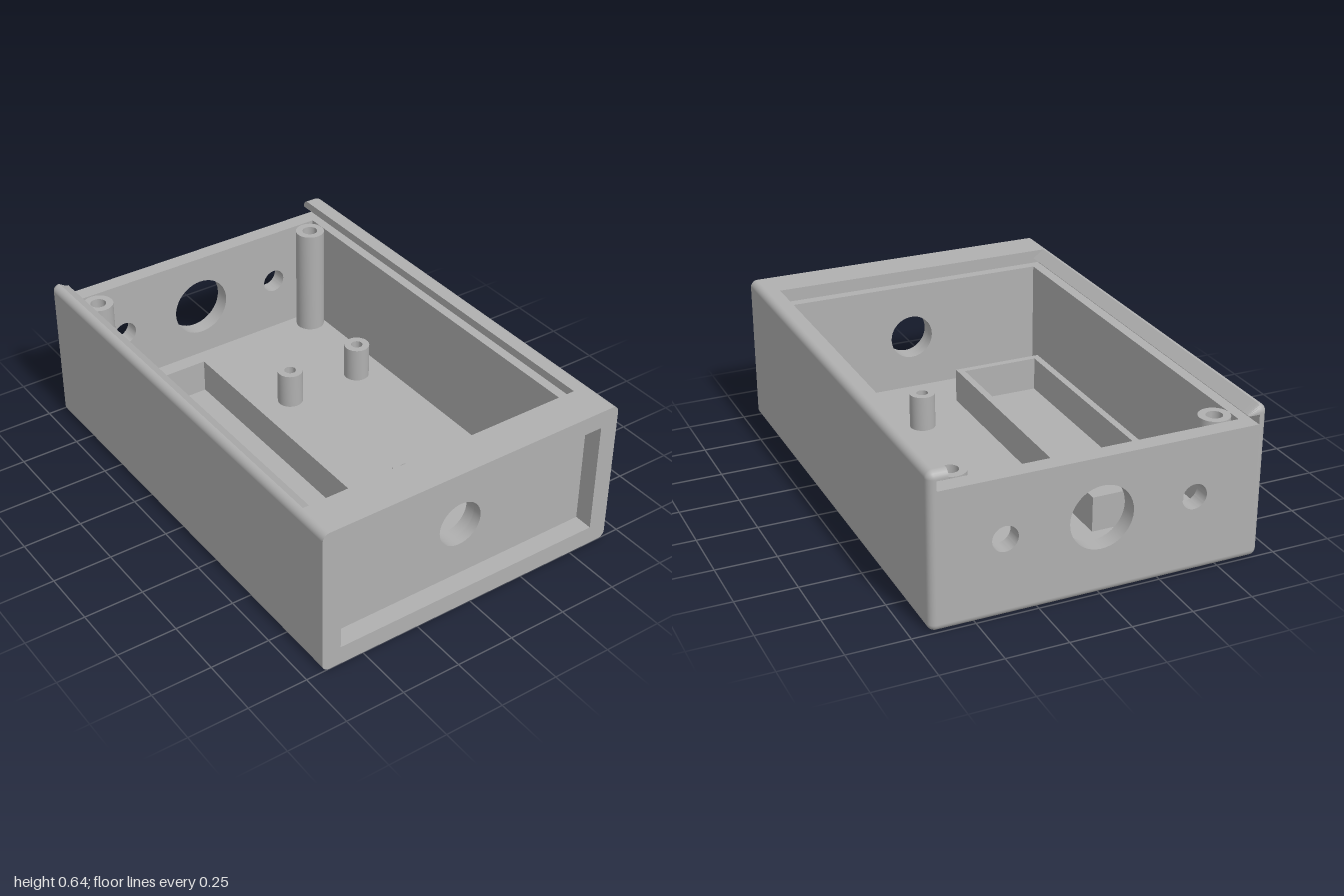
import * as THREE from 'three';
import { toCreasedNormals } from 'three/addons/utils/BufferGeometryUtils.js';

const W = 0.68, H = 0.64, R = 0.03;              // half width, height, edge radius
const IN = 0.6, FLOOR = 0.08, LEDGE = 0.565;     // inner half width, floor top, lid ledge
const GROOVE = 0.645, LIP = 0.605;               // lid groove half width and top
const INNER_BACK = -0.93, INNER_FRONT = 0.835;

const plastic = new THREE.MeshStandardMaterial({ color: 0xb0b0b0 });
plastic.name = 'greyPlastic';

// Outer outline, counter-clockwise from the top left to the top right
function outline(shape) {
  shape.moveTo(-IN, H);
  shape.absarc(-W + R, H - R, R, Math.PI / 2, Math.PI, false);
  shape.absarc(-W + R, R, R, Math.PI, Math.PI * 1.5, false);
  shape.absarc(W - R, R, R, Math.PI * 1.5, Math.PI * 2, false);
  shape.absarc(W - R, H - R, R, 0, Math.PI / 2, false);
  shape.lineTo(IN, H);
  return shape;
}

// Section open at the top, with lid grooves and optionally the main cavity
function openSection(hasCavity) {
  const s = outline(new THREE.Shape());
  const inner = [[IN, LIP], [GROOVE, LIP], [GROOVE, LEDGE]];
  if (hasCavity) inner.push([IN, LEDGE], [IN, FLOOR]);
  const mirrored = inner.map(([x, y]) => [-x, y]).reverse();
  [...inner, ...mirrored].forEach(([x, y]) => s.lineTo(x, y));
  s.closePath();
  return s;
}

function closedSection(...holes) {
  const s = outline(new THREE.Shape());
  s.closePath();
  s.holes.push(...holes);
  return s;
}

function rectPath(x0, y0, x1, y1, PathType = THREE.Path) {
  return new PathType([[x0, y0], [x1, y0], [x1, y1], [x0, y1]].map(p => new THREE.Vector2(...p)));
}

function circlePath(x, y, r) {
  const pts = [];
  for (let i = 0; i < 40; i++) {
    const a = i / 40 * Math.PI * 2;
    pts.push(new THREE.Vector2(x + r * Math.cos(a), y + r * Math.sin(a)));
  }
  return new THREE.Path(pts);
}

// Vector from the core of the rounded body to a point
function offsetFromCore(p) {
  const c = new THREE.Vector3(
    THREE.MathUtils.clamp(p.x, -W + R, W - R),
    THREE.MathUtils.clamp(p.y, R, H - R),
    Math.max(p.z, -1 + R));
  return p.clone().sub(c);
}

// Creased normals, with exact normals on the rounded outer skin
function finish(geo) {
  const g = toCreasedNormals(geo, 0.25);
  const pos = g.attributes.position, nor = g.attributes.normal;
  const p = new THREE.Vector3(), n = new THREE.Vector3();
  for (let i = 0; i < pos.count; i++) {
    const d = offsetFromCore(p.fromBufferAttribute(pos, i));
    if (d.length() < R * 0.9) continue;
    d.normalize();
    n.fromBufferAttribute(nor, i);
    if (n.dot(d) > 0.85) nor.setXYZ(i, d.x, d.y, d.z);
  }
  return g;
}

function slab(shape, z0, z1) {
  const g = new THREE.ExtrudeGeometry(shape, { depth: z1 - z0, bevelEnabled: false, curveSegments: 6 });
  g.translate(0, 0, z0);
  return finish(g);
}

// Back wall: extruded in steps that follow the rounded rear edge
function backWallGeometry() {
  const s = openSection(false);
  s.holes.push(circlePath(0, 0.32, 0.13), circlePath(-0.385, 0.32, 0.052), circlePath(0.385, 0.32, 0.052));
  const g = new THREE.ExtrudeGeometry(s, { depth: 7, steps: 7, bevelEnabled: false, curveSegments: 6 });
  const pos = g.attributes.position, p = new THREE.Vector3();
  for (let i = 0; i < pos.count; i++) {
    p.fromBufferAttribute(pos, i);
    const k = Math.round(p.z);
    if (k === 7) { pos.setZ(i, INNER_BACK); continue; }
    const a = (6 - k) / 6 * Math.PI / 2;
    p.z = 0;
    const d = offsetFromCore(p);
    const shrink = 1 - Math.cos(a);
    pos.setXYZ(i, p.x - d.x * shrink, p.y - d.y * shrink, -1 + R - R * Math.sin(a));
  }
  return finish(g);
}

// Screw post with a blind hole; a wider mouth gives a stepped bore
function postGeometry(radius, top, mouth, bore) {
  const step = top - 0.12;
  const pts = [[radius, FLOOR], [radius, top], [mouth, top]];
  if (mouth > bore) pts.push([mouth, step], [bore, step]);
  pts.push([bore, FLOOR + 0.002], [0, FLOOR + 0.002]);
  return toCreasedNormals(new THREE.LatheGeometry(pts.map(p => new THREE.Vector2(...p)), 32), 0.5);
}

export function createModel() {
  const model = new THREE.Group();
  model.name = 'enclosure';
  const add = (name, geo, x = 0, y = 0, z = 0) => {
    const m = new THREE.Mesh(geo, plastic);
    m.name = name;
    m.position.set(x, y, z);
    model.add(m);
  };

  // Shell, from back to front
  add('backWall', backWallGeometry());
  add('floorAndSideWalls', slab(openSection(true), INNER_BACK, INNER_FRONT));
  const port = () => circlePath(0, 0.322, 0.097);
  add('frontWallGroove', slab(closedSection(port(), rectPath(-GROOVE, LEDGE, GROOVE, LIP)), INNER_FRONT, 0.88));
  add('frontPanel', slab(closedSection(port()), 0.88, 0.92));
  add('frontFrame', slab(closedSection(rectPath(-IN, FLOOR, IN, LEDGE)), 0.92, 1));

  // Battery tray walls standing on the floor
  const tray = rectPath(-0.52, -0.615, -0.12, 0.70, THREE.Shape);
  tray.holes.push(rectPath(-0.49, -0.585, -0.15, 0.67));
  const trayGeo = new THREE.ExtrudeGeometry(tray, { depth: 0.148, bevelEnabled: false });
  trayGeo.rotateX(-Math.PI / 2);
  add('trayWalls', trayGeo, 0, FLOOR, 0);

  // Tall lid posts in the back corners
  const tall = postGeometry(0.063, LEDGE, 0.033, 0.026);
  for (const side of [-1, 1]) add('lidPost', tall, side * 0.537, 0, -0.86);

  // Short board posts
  const short = postGeometry(0.055, 0.235, 0.025, 0.025);
  for (const [x, z] of [[0.115, -0.395], [0.467, -0.395], [0.115, 0.437], [0.5, 0.5]])
    add('boardPost', short, x, 0, z);

  return model;
}
